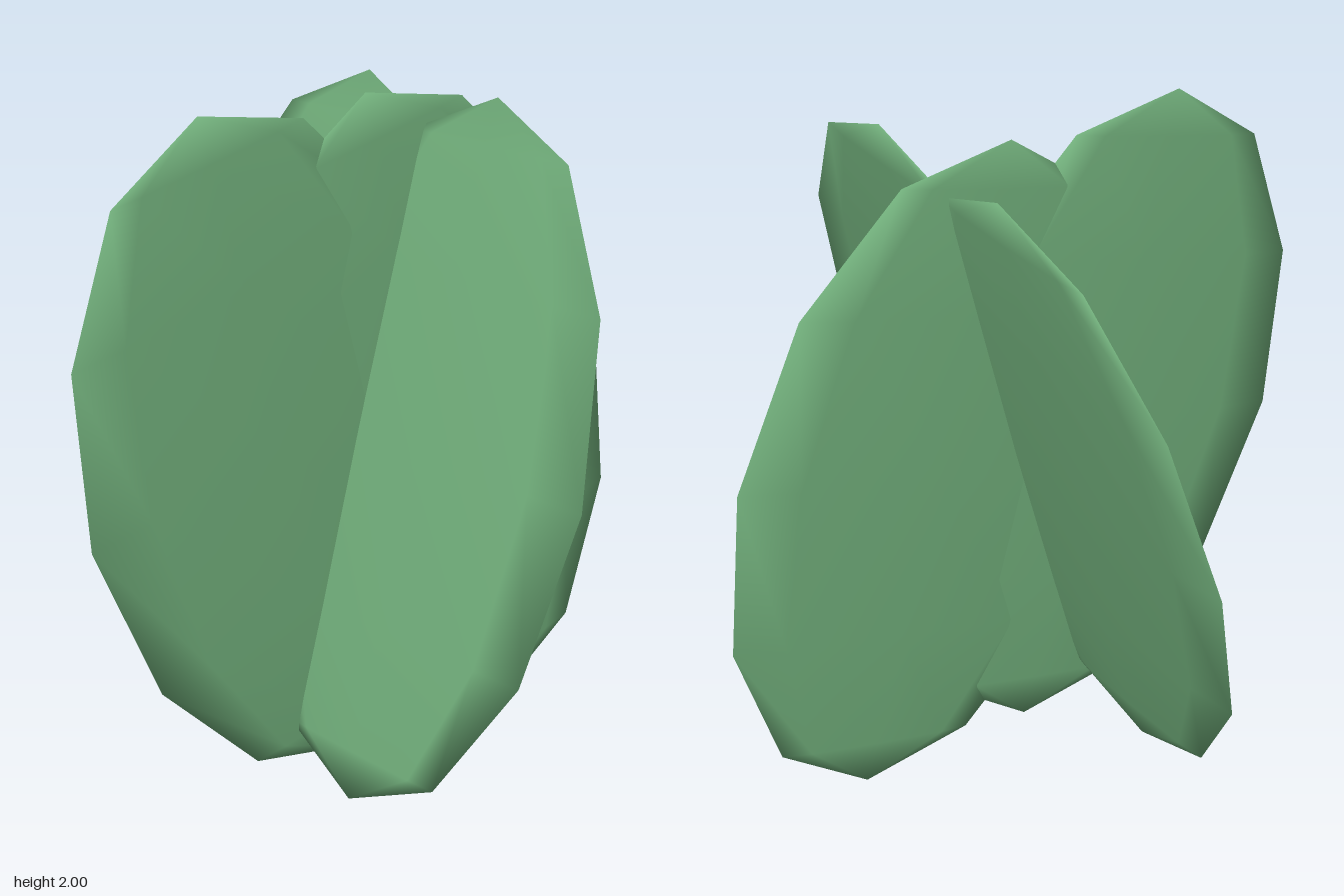
import * as THREE from 'three';

// Four thin, flattened leaf pads crossing at the centre, leaning in opposite directions.
export function createModel() {
  const model = new THREE.Group();
  model.name = 'leafCluster';
  const leafGreen = new THREE.MeshStandardMaterial({ color: 0x72b07c });
  leafGreen.name = 'leafGreen';

  const halfWidth = 0.67, halfHeight = 1.035, halfThickness = 0.03;
  const offset = 0.29, lean = THREE.MathUtils.degToRad(15);

  // Low-sided ellipsoid pad with smooth normals
  const addLeaf = (name, scale, position, tilt) => {
    const geometry = new THREE.SphereGeometry(1, 8, 6);
    geometry.scale(...scale);
    const leaf = new THREE.Mesh(geometry, leafGreen);
    leaf.name = name;
    leaf.position.set(...position);
    leaf.rotation.z = tilt;
    model.add(leaf);
  };

  for (const side of [1, -1]) {
    // Side pads lie in the front plane and lean towards -x
    addLeaf(side > 0 ? 'leftLeaf' : 'rightLeaf',
      [halfWidth, halfHeight, halfThickness], [side * offset, 1, 0], lean);
    // Front and back pads share one plane leaning towards +x
    addLeaf(side > 0 ? 'frontLeaf' : 'backLeaf',
      [halfThickness, halfHeight, halfWidth], [0, 1, side * offset], -lean);
  }
  return model;
}
